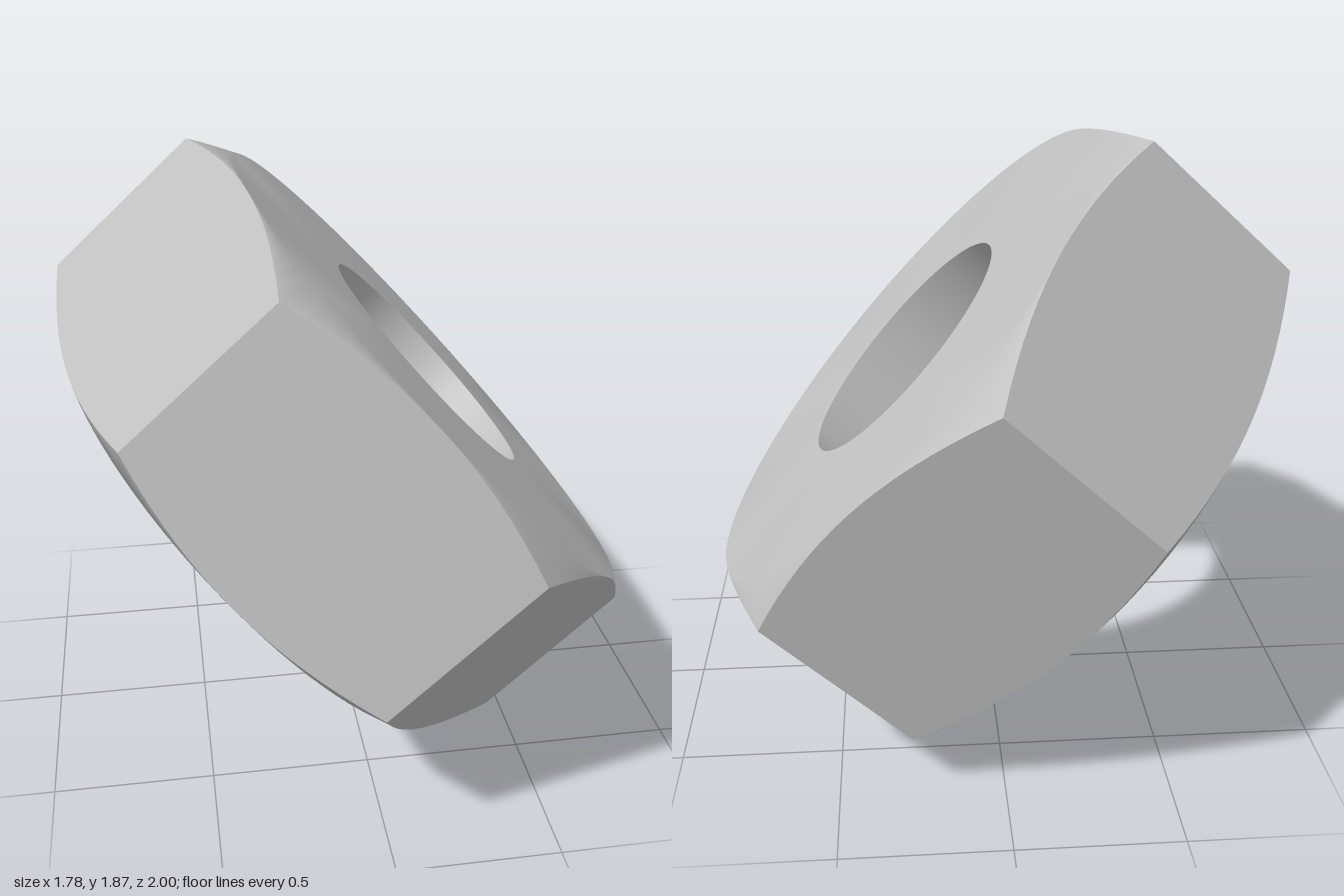
import * as THREE from 'three';
import { mergeVertices } from 'three/addons/utils/BufferGeometryUtils.js';

const CORNER_R = 1.0347;                              // centre to hexagon corner
const FLAT_R = CORNER_R * Math.cos(Math.PI / 6);      // centre to flat side
const HOLE_R = 0.422;
const HALF = 0.37;                                    // half thickness at the faces
const CORNER_HALF = 0.29;                             // half thickness at the corners
const FIRST_CORNER = THREE.MathUtils.degToRad(15.13);
const PER_SIDE = 16;
const SEGMENTS = PER_SIDE * 6;

const polar = (r, y, a) => [r * Math.cos(a), y, r * Math.sin(a)];

// Rings of points: each takes the step index and the end (+1 top, -1 bottom)
const angle = i => FIRST_CORNER + (i / SEGMENTS) * Math.PI * 2;
const hole = end => i => polar(HOLE_R, end * HALF, angle(i));
const chamferStart = end => i => polar(FLAT_R, end * HALF, angle(i));
const hexEdge = end => i => {
  const fromMid = ((i % PER_SIDE) / PER_SIDE - 0.5) * Math.PI / 3;
  const r = FLAT_R / Math.cos(fromMid);
  const drop = (HALF - CORNER_HALF) * (r - FLAT_R) / (CORNER_R - FLAT_R);
  return polar(r, end * (HALF - drop), angle(i));
};

// Closed band of triangles joining successive rings
function band(rings, smooth) {
  const points = [];
  for (let k = 0; k < rings.length - 1; k++) {
    const [a, b] = [rings[k], rings[k + 1]];
    for (let i = 0; i < SEGMENTS; i++) {
      const j = (i + 1) % SEGMENTS;
      points.push(...a(i), ...b(i), ...b(j), ...a(i), ...b(j), ...a(j));
    }
  }
  let geometry = new THREE.BufferGeometry();
  geometry.setAttribute('position', new THREE.Float32BufferAttribute(points, 3));
  if (smooth) geometry = mergeVertices(geometry, 1e-4);
  geometry.computeVertexNormals();
  return geometry;
}

export function createModel() {
  const steel = new THREE.MeshStandardMaterial({ color: 0xc0c0c0 });
  steel.name = 'steel grey';

  const nut = new THREE.Group();
  nut.name = 'hexNut';
  const add = (name, rings, smooth) => {
    const mesh = new THREE.Mesh(band(rings, smooth), steel);
    mesh.name = name;
    nut.add(mesh);
  };

  add('hexSides', [hexEdge(-1), hexEdge(1)], false);
  add('upperChamferedFace', [hexEdge(1), chamferStart(1), hole(1)], true);
  add('bore', [hole(1), hole(-1)], true);
  add('lowerChamferedFace', [hole(-1), chamferStart(-1), hexEdge(-1)], true);

  // Tilted so that the nut rests on one edge
  nut.rotation.z = THREE.MathUtils.degToRad(-47.8);
  nut.position.y = 0.938;

  const model = new THREE.Group();
  model.name = 'tiltedNut';
  model.add(nut);
  return model;
}
